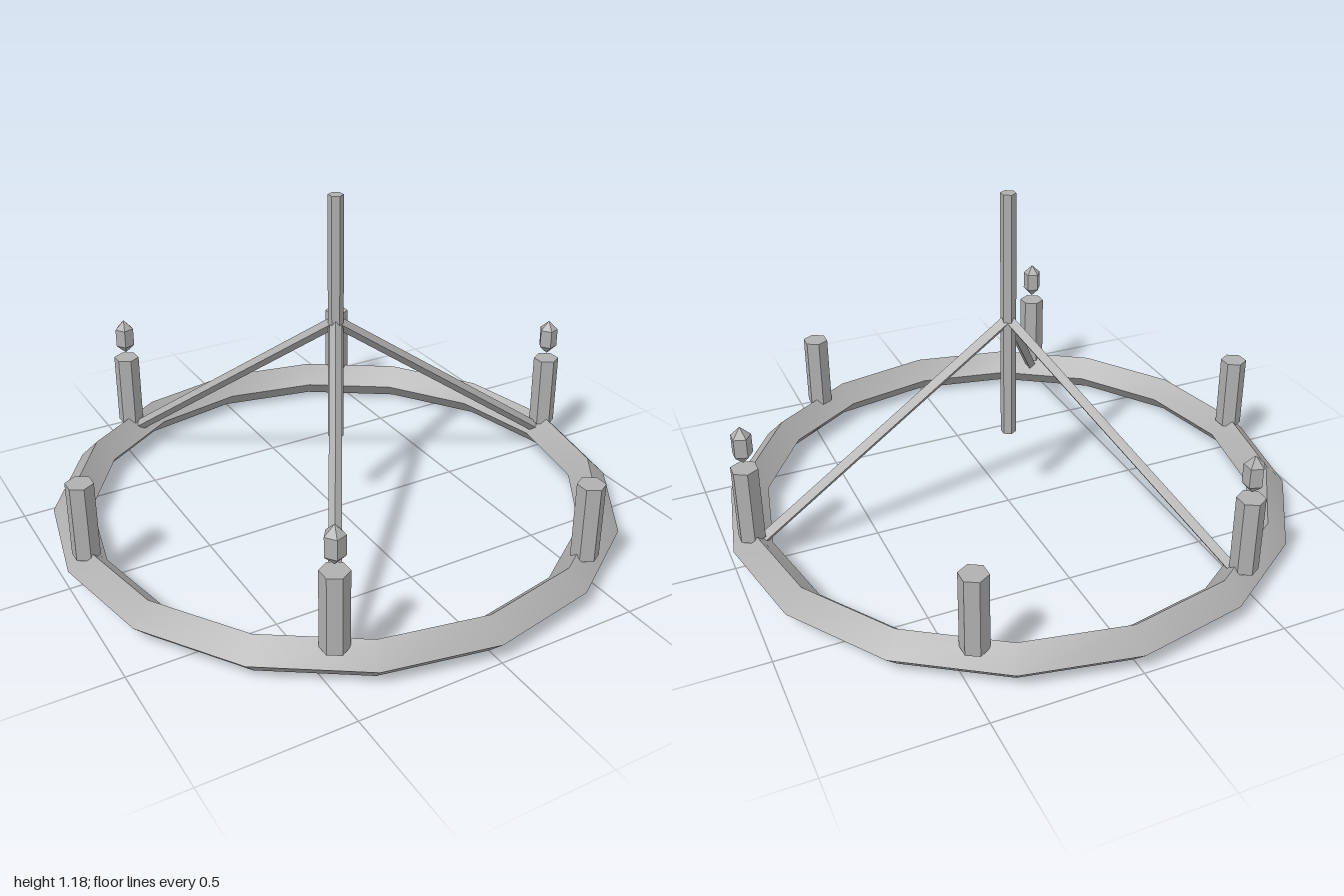
import * as THREE from 'three';
import { toCreasedNormals } from 'three/addons/utils/BufferGeometryUtils.js';

const RING_RADIUS = 0.933;
const RING_TUBE = 0.067;

export function createModel() {
  const model = new THREE.Group();
  model.name = 'chandelier';
  const metal = new THREE.MeshStandardMaterial({ color: 0xb0b0b0 });
  metal.name = 'grey metal';

  const add = (parent, name, geometry, x, y, z = 0) => {
    const mesh = new THREE.Mesh(toCreasedNormals(geometry, 0.6), metal);
    mesh.name = name;
    mesh.position.set(x, y, z);
    parent.add(mesh);
    return mesh;
  };

  // Sixteen-sided hoop with a diamond cross-section
  const hoop = new THREE.TorusGeometry(RING_RADIUS, RING_TUBE, 4, 16).rotateX(Math.PI / 2);
  add(model, 'hoop', hoop, 0, RING_TUBE);

  // Hexagonal hanging rod
  add(model, 'hangingRod', new THREE.CylinderGeometry(0.0267, 0.0267, 0.885, 6), 0, 0.738);

  // Six candles, with a flame on every second one
  for (let i = 0; i < 6; i++) {
    const angle = (i * Math.PI) / 3;
    const x = RING_RADIUS * Math.cos(angle);
    const z = RING_RADIUS * Math.sin(angle);
    add(model, 'candle', new THREE.CylinderGeometry(0.0467, 0.0467, 0.267, 6), x, 0.247, z);
    if (i % 2 === 0) {
      const flame = new THREE.SphereGeometry(0.04, 5, 3).scale(1, 1.67, 1);
      add(model, 'flame', flame, x, 0.468, z);
    }
  }

  // Three sloping arms from the rod down to the hoop
  const top = 0.735;
  const drop = top - RING_TUBE;
  for (let i = 0; i < 3; i++) {
    const arm = new THREE.Group();
    arm.name = 'armPivot';
    arm.rotation.y = (i * Math.PI * 2) / 3;
    const bar = new THREE.CylinderGeometry(0.021, 0.021, Math.hypot(RING_RADIUS, drop), 4);
    const mesh = add(arm, 'arm', bar, RING_RADIUS / 2, RING_TUBE + drop / 2);
    mesh.rotation.z = Math.atan2(RING_RADIUS, drop);
    model.add(arm);
  }

  return model;
}
